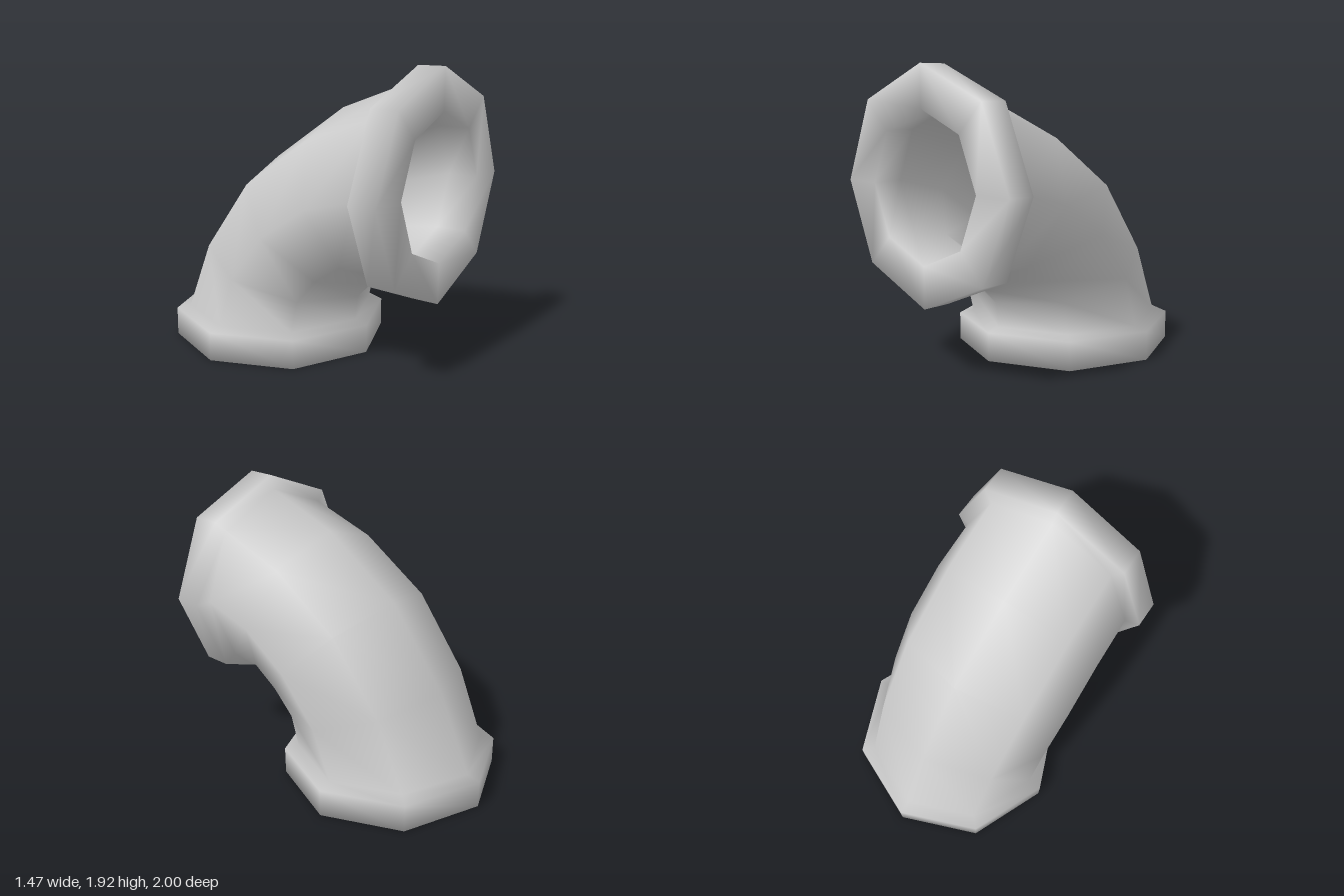
import * as THREE from 'three';

const SIDES = 8;
const R_FLANGE = 0.735, R_BORE = 0.47, R_PIPE = 0.64;
const FRONT_Y = 1.185, BASE_Z = -0.26; // centres of the two openings

// A cross-section: outer-bend point [z, y], inner-bend point [z, y], half width in x
const frontRing = (r, z) => [[z, FRONT_Y + r], [z, FRONT_Y - r], r];
const baseRing = (r, y) => [[BASE_Z - r, y], [BASE_Z + r, y], r];

// Bend between the two flanges
const bend = [
  [[0.27, 1.63], [0.62, 0.555], 0.65],
  [[-0.27, 1.26], [0.5, 0.48], 0.66],
  [[-0.67, 0.73], [0.4, 0.375], 0.65],
];

// Shrinks a section about its centre to make the inside wall
function shrink([o, i, w], s) {
  const c = [(o[0] + i[0]) / 2, (o[1] + i[1]) / 2];
  const toward = (p) => p.map((v, n) => c[n] + (v - c[n]) * s);
  return [toward(o), toward(i), w * s];
}

// Sections in order around the closed skin: out along the pipe, back through the bore
const rings = [
  frontRing(R_BORE, 0.8),
  frontRing(R_BORE, 1),
  frontRing(R_FLANGE, 1),
  frontRing(R_FLANGE, 0.815),
  frontRing(R_PIPE, 0.79),
  ...bend,
  baseRing(R_PIPE, 0.21),
  baseRing(R_FLANGE, 0.19),
  baseRing(R_FLANGE, 0),
  baseRing(R_BORE, 0),
  baseRing(R_BORE, 0.2),
  ...bend.map((s) => shrink(s, R_BORE / R_PIPE)).reverse(),
];

// Faces joining ring `from` up to ring `to`, wrapping past the last ring
function stripIndex(from, to) {
  const index = [];
  for (let r = from; r < to; r++) {
    const a = (r % rings.length) * SIDES;
    const b = ((r + 1) % rings.length) * SIDES;
    for (let k = 0; k < SIDES; k++) {
      const n = (k + 1) % SIDES;
      index.push(a + k, b + k, b + n, a + k, b + n, a + n);
    }
  }
  return index;
}

export function createModel() {
  const group = new THREE.Group();
  group.name = 'pipeElbow';
  const material = new THREE.MeshStandardMaterial({ color: 0xcccccc });

  const points = [];
  for (const [o, i, w] of rings) {
    for (let k = 0; k < SIDES; k++) {
      const a = (k / SIDES) * Math.PI * 2;
      const t = (1 + Math.sin(a)) / 2;
      points.push(
        w * Math.cos(a),
        THREE.MathUtils.lerp(i[1], o[1], t),
        THREE.MathUtils.lerp(i[0], o[0], t),
      );
    }
  }

  // Smooth normals over the whole skin, shared by all parts
  const skin = new THREE.BufferGeometry();
  skin.setAttribute('position', new THREE.Float32BufferAttribute(points, 3));
  skin.setIndex(stripIndex(0, rings.length));
  skin.computeVertexNormals();

  const parts = [
    ['frontFlange', 0, 4],
    ['pipeBend', 4, 8],
    ['baseFlange', 8, 12],
    ['innerBore', 12, rings.length],
  ];
  for (const [name, from, to] of parts) {
    const geometry = skin.clone();
    geometry.setIndex(stripIndex(from, to));
    const mesh = new THREE.Mesh(geometry, material);
    mesh.name = name;
    group.add(mesh);
  }
  return group;
}
